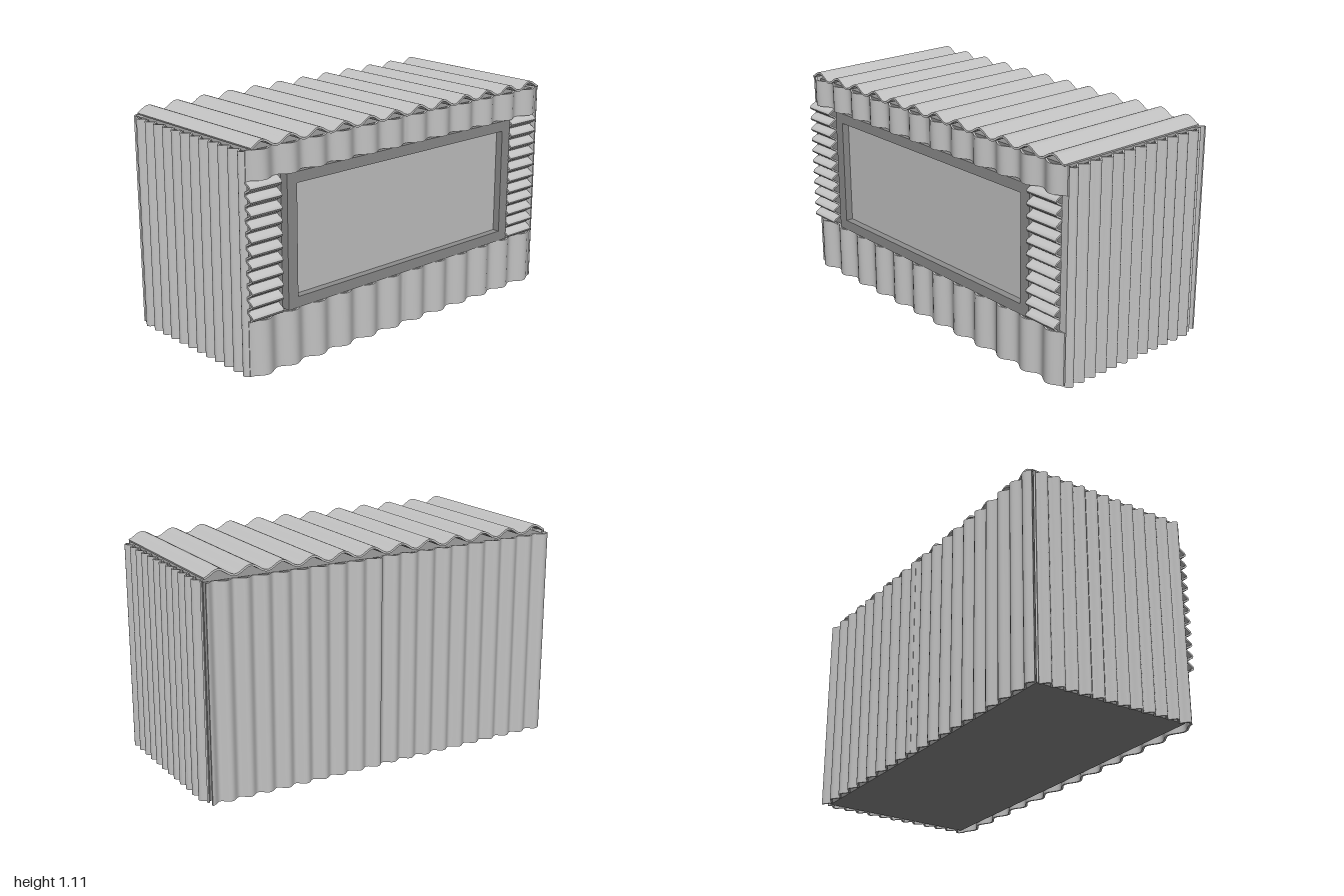
import * as THREE from 'three';
import { toCreasedNormals } from 'three/addons/utils/BufferGeometryUtils.js';

const X = new THREE.Vector3(1, 0, 0), Y = new THREE.Vector3(0, 1, 0), Z = new THREE.Vector3(0, 0, 1);
const neg = v => v.clone().negate();

export function createModel() {
  const model = new THREE.Group();
  const metal = new THREE.MeshStandardMaterial({ color: 0xc2c2c2 });
  metal.name = 'light metal';
  const dark = new THREE.MeshStandardMaterial({ color: 0x8c8c8c });
  dark.name = 'dark grey';

  const add = (name, geo, mat) => {
    const mesh = new THREE.Mesh(geo, mat);
    mesh.name = name;
    model.add(mesh);
    return mesh;
  };
  const box = (name, mat, x0, x1, y0, y1, z0, z1) => add(name,
    new THREE.BoxGeometry(x1 - x0, y1 - y0, z1 - z0).translate((x0 + x1) / 2, (y0 + y1) / 2, (z0 + z1) / 2), mat);

  // Corrugated sheet: waves run along u, bulge along n, and are swept along u x n.
  // lo and hi bound the wave along n, including the sheet's thickness.
  const sheet = (name, u, n, origin, length, { from, to, period, peak, lo, hi, thick = 0.01 }) => {
    const mid = (lo + hi) / 2, amp = (hi - lo - thick) / 2;
    const steps = Math.ceil((to - from) / period * 12);
    const outer = [], inner = [];
    for (let i = 0; i <= steps; i++) {
      const t = from + (to - from) * i / steps;
      const a = 2 * Math.PI * (t - peak) / period;
      const y = mid + amp * Math.cos(a);
      const slope = -amp * Math.sin(a) * 2 * Math.PI / period;
      const k = thick / 2 / Math.hypot(1, slope);
      outer.push(new THREE.Vector2(t - slope * k, y + k));
      inner.push(new THREE.Vector2(t + slope * k, y - k));
    }
    const shape = new THREE.Shape([...inner, ...outer.reverse()]);
    const geo = toCreasedNormals(new THREE.ExtrudeGeometry(shape, { depth: length, bevelEnabled: false }), 0.8);
    geo.applyMatrix4(new THREE.Matrix4().makeBasis(u, n, u.clone().cross(n)).setPosition(...origin));
    add(name, geo, metal);
  };

  // Inner shell carrying the cladding
  box('innerShell', dark, -0.425, 0.405, 0.005, 1.055, -0.962, 0.955);

  // End walls
  const endWave = { from: -0.43, to: 0.43, period: 0.0715, peak: -0.38, thick: 0.009 };
  sheet('frontWall', X, Z, [0, 1.063, 0], 1.063, { ...endWave, lo: 0.953, hi: 0.994 });
  sheet('backWall', X, neg(Z), [0, 0, 0], 1.063, { ...endWave, lo: 0.96, hi: 1 });

  // Long left wall, two sheets lapped in the middle
  const leftWave = { period: 0.1, peak: -0.07, lo: 0.43, hi: 0.468, thick: 0.009 };
  sheet('leftWallFront', Z, neg(X), [0, 1.063, 0], 1.063, { ...leftWave, from: -0.08, to: 0.965 });
  sheet('leftWallBack', Z, neg(X), [-0.004, 1.06, 0], 1.06, { ...leftWave, from: -0.97, to: -0.05 });

  // Window wall: bands below and above the opening
  const rightWave = { from: -0.965, to: 0.975, period: 0.162, peak: 0.083, lo: 0.422, hi: 0.467 };
  sheet('lowerWindowWall', Z, X, [0, 0, 0], 0.272, rightWave);
  sheet('upperWindowWall', Z, X, [0, 0.928, 0], 0.14, rightWave);

  // Horizontally ribbed panels beside the window
  const ribWave = { from: 0.275, to: 0.925, period: 0.061, peak: 0.9, lo: 0.42, hi: 0.466, thick: 0.009 };
  sheet('frontSidePanel', Y, X, [0, 0, 0.978], 0.18, ribWave);
  sheet('backSidePanel', Y, X, [0, 0, -0.742], 0.19, ribWave);
  box('backCornerStrip', metal, 0.4, 0.43, 0.272, 0.928, -0.975, -0.932);

  // Roof
  sheet('roof', Z, Y, [0.45, 0, 0], 0.88,
    { from: -0.96, to: 0.955, period: 0.162, peak: 0.083, lo: 1.064, hi: 1.109 });

  // Window frame and recessed pane
  const rect = (C, a, b, c, d) => new C([[a, c], [b, c], [b, d], [a, d]].map(p => new THREE.Vector2(...p)));
  const frame = rect(THREE.Shape, -0.757, 0.745, 0.272, 0.925);
  frame.holes.push(rect(THREE.Path, -0.7, 0.687, 0.325, 0.872));
  const frameGeo = new THREE.ExtrudeGeometry(frame, { depth: 0.055, bevelEnabled: false });
  frameGeo.rotateY(Math.PI / 2).translate(0.395, 0, 0);
  add('windowFrame', frameGeo, dark);
  box('windowPane', metal, 0.404, 0.412, 0.325, 0.872, -0.687, 0.7);

  return model;
}
